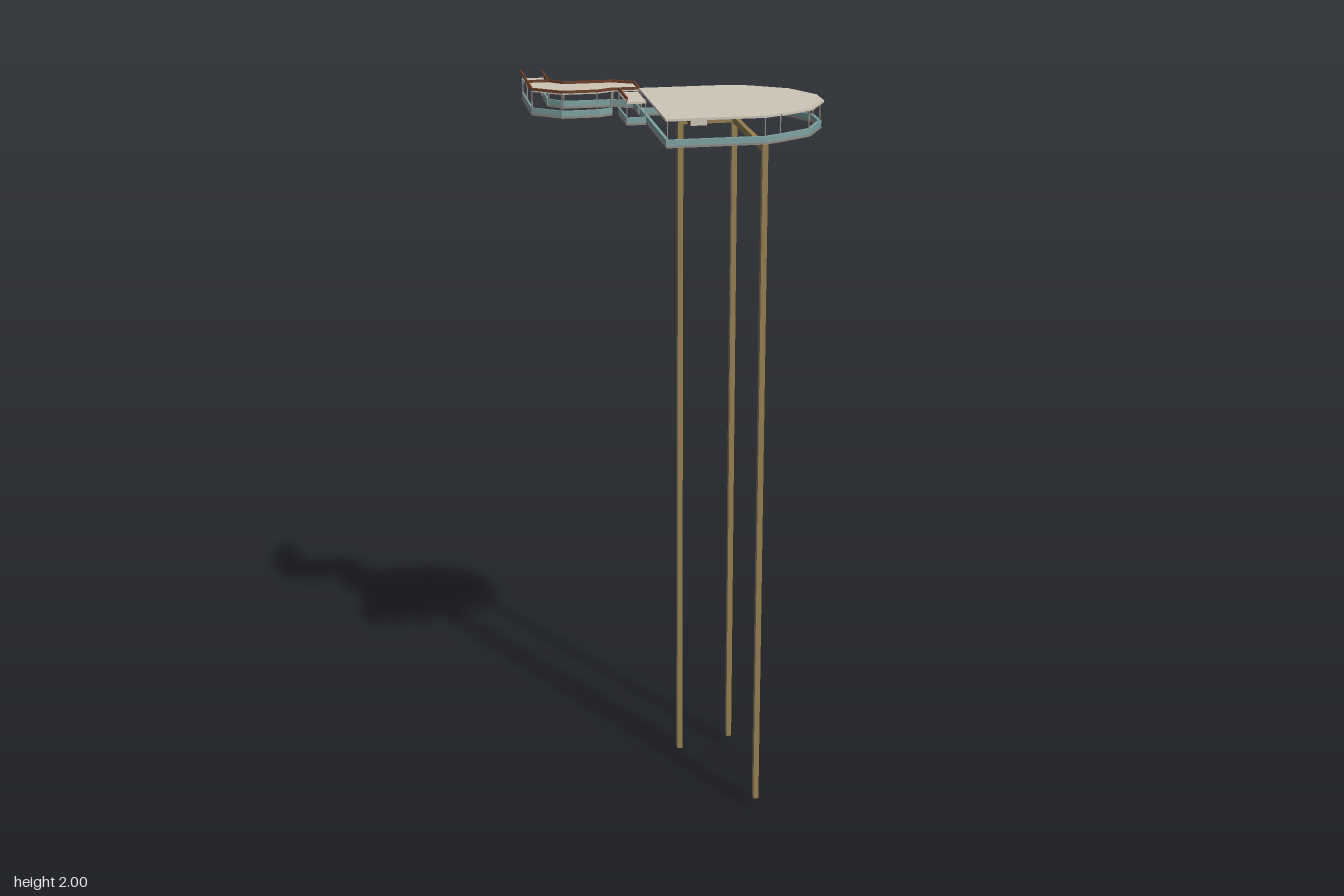
import * as THREE from 'three';

const mat = (name, color) => {
  const m = new THREE.MeshStandardMaterial({ color });
  m.name = name;
  return m;
};

export function createModel() {
  const root = new THREE.Group();
  const beige = mat('beige deck', 0xcfc6b9);
  const teal = mat('teal band', 0x7fa3a5);
  const brown = mat('brown rail', 0x6e412a);
  const timber = mat('post timber', 0x967f53);
  const grey = mat('grey metal', 0x8f8c86);

  const box = (name, m, x0, x1, y0, y1, z0, z1, parent = root) => {
    const b = new THREE.Mesh(new THREE.BoxGeometry(x1 - x0, y1 - y0, z1 - z0), m);
    b.position.set((x0 + x1) / 2, (y0 + y1) / 2, (z0 + z1) / 2);
    b.name = name;
    parent.add(b);
    return b;
  };
  // Horizontal bar between two [x, z] points
  const bar = (name, m, a, b, y0, y1, w, parent) => {
    const dx = b[0] - a[0], dz = b[1] - a[1];
    const mesh = new THREE.Mesh(new THREE.BoxGeometry(Math.hypot(dx, dz) + w * 0.4, y1 - y0, w), m);
    mesh.position.set((a[0] + b[0]) / 2, (y0 + y1) / 2, (a[1] + b[1]) / 2);
    mesh.rotation.y = -Math.atan2(dz, dx);
    mesh.name = name;
    parent.add(mesh);
  };
  // Flat slab from an [x, z] outline
  const slab = (name, m, pts, y0, y1, parent) => {
    const shape = new THREE.Shape(pts.map(([x, z]) => new THREE.Vector2(x, -z)));
    const geo = new THREE.ExtrudeGeometry(shape, { depth: y1 - y0, bevelEnabled: false });
    geo.rotateX(-Math.PI / 2);
    const mesh = new THREE.Mesh(geo, m);
    mesh.position.y = y0;
    mesh.name = name;
    parent.add(mesh);
  };
  // Lower frame and uprights following a path
  const lowerFrame = (pts, closed, w, parent) => {
    const n = pts.length;
    for (let i = 0; i < (closed ? n : n - 1); i++) {
      const a = pts[i], b = pts[(i + 1) % n];
      bar('lowerBand', teal, a, b, 1.93, 1.945, w * 0.9, parent);
      bar('lowerSill', grey, a, b, 1.924, 1.93, w, parent);
    }
    for (const [x, z] of pts)
      box('upright', grey, x - 0.0015, x + 0.0015, 1.94, 1.993, z - 0.0015, z + 0.0015, parent);
  };
  const topRail = (pts, parent) => {
    for (let i = 0; i < pts.length - 1; i++)
      bar('topRail', brown, pts[i], pts[i + 1], 1.992, 1.999, 0.005, parent);
  };

  // Main rounded deck
  const deck = new THREE.Group();
  deck.name = 'mainDeck';
  root.add(deck);
  const deckPts = [[-0.085, -0.052], [0.16, -0.052], [0.215, -0.035], [0.31, 0.023], [0.363, 0.115],
    [0.363, 0.195], [0.31, 0.29], [0.22, 0.343], [0.175, 0.363], [-0.085, 0.363]];
  slab('deckSlab', beige, deckPts, 1.993, 1.999, deck);
  const c = [0.14, 0.155];
  lowerFrame(deckPts.map(([x, z]) => [c[0] + (x - c[0]) * 0.976, c[1] + (z - c[1]) * 0.976]), true, 0.009, deck);
  // Rim strips on the rounded end
  for (const [i, j] of [[3, 4], [4, 5], [5, 6], [6, 7]])
    bar('rimStrip', beige, deckPts[i], deckPts[j], 1.993, 1.998, 0.01, deck);

  // Winding walkway
  const walk = new THREE.Group();
  walk.name = 'walkway';
  root.add(walk);
  const walkPts = [[-0.369, -0.214], [-0.31, -0.214], [-0.273, -0.179], [-0.137, -0.179], [-0.082, -0.15],
    [-0.082, -0.067], [-0.158, -0.067], [-0.2, -0.048], [-0.295, -0.048], [-0.369, -0.104]];
  slab('walkwaySlab', beige, walkPts, 1.988, 1.992, walk);
  topRail([...walkPts, walkPts[0]], walk);
  lowerFrame(walkPts.slice(1, 6), false, 0.006, walk);
  lowerFrame([...walkPts.slice(6), walkPts[0]], false, 0.006, walk);

  // Short link beside the main deck
  slab('linkSlab', beige, [[-0.137, -0.067], [-0.085, -0.067], [-0.085, 0.072], [-0.137, 0.072]], 1.981, 1.986, walk);
  const linkPath = [[-0.137, -0.067], [-0.137, 0.069], [-0.087, 0.069]];
  topRail(linkPath.slice(0, 2), walk);
  lowerFrame(linkPath, false, 0.0055, walk);

  // Sloping end ramp with a riser and rails running past it
  const ramp = box('endRamp', beige, -0.369, -0.312, 1.98, 1.985, -0.349, -0.213, walk);
  ramp.rotation.x = -0.09;
  box('rampRiser', brown, -0.369, -0.312, 1.977, 1.988, -0.216, -0.212, walk);
  for (const x of [-0.3695, -0.3115]) {
    topRail([[x, -0.214], [x, -0.364]], walk);
    lowerFrame([[x, -0.22], [x, -0.32]], false, 0.0055, walk);
  }
  for (const x of [-0.369, -0.315])
    box('endPost', beige, x, x + 0.003, 1.93, 1.98, -0.343, -0.333, walk);

  // Bench and step under the deck
  box('benchBody', brown, 0.012, 0.055, 1.942, 1.965, 0.08, 0.187);
  box('benchFront', beige, 0.012, 0.055, 1.942, 1.965, 0.187, 0.19);
  box('benchBack', beige, 0.012, 0.055, 1.942, 1.965, 0.077, 0.08);
  box('stepTread', brown, 0.09, 0.2, 1.983, 1.987, -0.04, 0.07);

  // Tall posts and their connecting beams
  for (const [x, z, y] of [[0.025, -0.034, 0], [0.175, -0.034, 0.027], [0.175, 0.35, 0.027]])
    box('tallPost', timber, x - 0.0075, x + 0.0075, y, 1.922, z - 0.01, z + 0.01);
  box('sideBeam', timber, 0.169, 0.181, 1.9, 1.919, -0.034, 0.35);
  box('backBeam', timber, 0.025, 0.175, 1.9, 1.919, -0.04, -0.028);

  return root;
}
